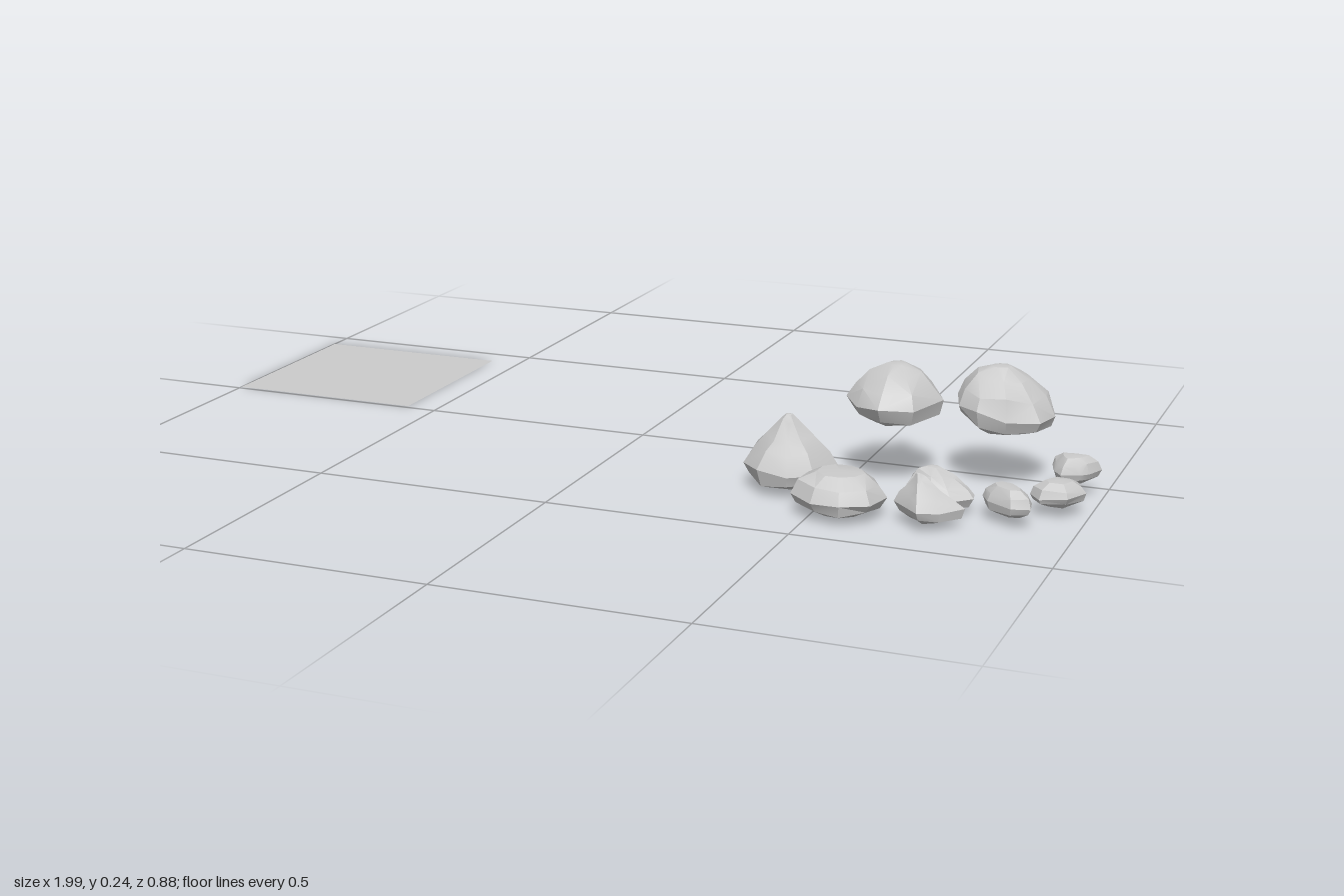
import * as THREE from 'three';
import { toCreasedNormals } from 'three/addons/utils/BufferGeometryUtils.js';

const grey = new THREE.MeshStandardMaterial({ color: 0xcccccc });
const greySheet = new THREE.MeshStandardMaterial({ color: 0xcccccc, side: THREE.DoubleSide });

// Side profiles, bottom to top: [share of the height, share of the footprint]
const DOME = [[0, 0.52], [0.13, 0.88], [0.35, 1], [0.62, 0.84], [0.85, 0.52], [1, 0.2]];
const PEAK = [[0, 0.5], [0.1, 0.88], [0.28, 1], [0.5, 0.75], [0.67, 0.46], [0.9, 0.18], [1, 0.08]];
const FLAT = [[0, 0.5], [0.2, 0.88], [0.45, 1], [0.75, 0.85], [1, 0.5]];

// Pseudo-random numbers between -1 and 1
function seeded(seed) {
  return () => (seed = (seed * 16807) % 2147483647) / 1073741823.5 - 1;
}

// Footprint corner: an ellipse with lobes, turned about the upright axis
function footprint(angle, radiusX, radiusZ, lobes, depth, turn) {
  const swell = 1 + depth * (Math.cos(lobes * angle) - 1);
  return new THREE.Vector2(radiusX * Math.cos(angle), radiusZ * Math.sin(angle))
    .multiplyScalar(swell)
    .rotateAround(new THREE.Vector2(), turn);
}

// Stacked footprint rings that draw in towards the peak, closed at both ends
function rockGeometry({ radius, height, profile, sides, turn = 0, lobes = 4, depth = 0, peak = [0, 0], slope = 0, seed }) {
  const rand = seeded(seed);
  const pos = [], index = [];
  const plan = [];
  for (let i = 0; i < sides; i++) {
    const angle = ((i + 0.2 * rand()) / sides) * Math.PI * 2;
    plan.push(footprint(angle, ...radius, lobes, depth, turn).multiplyScalar(1 + 0.05 * rand()));
  }
  const widest = profile.findIndex(ring => ring[1] === 1);
  const centre = new THREE.Vector2(), tip = new THREE.Vector2(...peak);
  profile.forEach(([up, share], j) => {
    const hub = j > widest ? tip : centre;
    const inner = j > 0 && j < profile.length - 1;
    for (const corner of plan) {
      const p = hub.clone().lerp(corner, share * (j === widest ? 1 : 1 + 0.06 * rand()));
      const lift = inner ? 0.05 * height * rand() + slope * (p.x - hub.x) : 0;
      pos.push(p.x, up * height + lift, p.y);
    }
  });
  const bottom = pos.length / 3, top = bottom + 1;
  pos.push(0, -0.002, 0, tip.x, height + 0.002, tip.y);
  const last = (profile.length - 1) * sides;
  for (let i = 0; i < sides; i++) {
    const k = (i + 1) % sides;
    for (let j = 0; j < last; j += sides) {
      const a = j + i, b = j + k, c = b + sides, d = a + sides;
      if ((i + j / sides) % 2) index.push(a, d, b, b, d, c);
      else index.push(a, d, c, a, c, b);
    }
    index.push(bottom, i, k, top, last + k, last + i);
  }
  const geo = new THREE.BufferGeometry();
  geo.setAttribute('position', new THREE.Float32BufferAttribute(pos, 3));
  geo.setIndex(index);
  return toCreasedNormals(geo, 0.42);
}

// One rock; at = [x, underside, z] of its centre
function addRock(parent, name, at, shape) {
  const mesh = new THREE.Mesh(rockGeometry(shape), grey);
  mesh.name = name;
  mesh.position.set(...at);
  parent.add(mesh);
}

export function createModel() {
  const model = new THREE.Group();
  model.name = 'rockSet';

  // Flat square sheet on the ground
  const sheet = new THREE.Mesh(new THREE.PlaneGeometry(0.43, 0.43).rotateX(-Math.PI / 2), greySheet);
  sheet.name = 'groundSheet';
  sheet.position.set(-0.785, 0, -0.225);
  model.add(sheet);

  const rocks = new THREE.Group();
  rocks.name = 'rocks';
  model.add(rocks);

  // Large rocks
  addRock(rocks, 'largeRockBackLeft', [0.795, 0.115, 0.043],
    { radius: [0.1, 0.093], height: 0.128, profile: DOME, sides: 10, peak: [-0.015, 0], slope: -0.12, seed: 101 });
  addRock(rocks, 'largeRockBackRight', [0.585, 0.128, 0.102],
    { radius: [0.096, 0.113], height: 0.113, profile: DOME, sides: 8, depth: 0.05, peak: [0, -0.01], seed: 202 });
  addRock(rocks, 'peakedRock', [0.413, 0.012, 0.235],
    { radius: [0.098, 0.085], height: 0.15, profile: PEAK, sides: 9, peak: [0.005, 0.03], seed: 303 });
  addRock(rocks, 'flatRock', [0.553, 0.007, 0.353],
    { radius: [0.095, 0.086], height: 0.08, profile: FLAT, sides: 9, seed: 404 });

  // Small rocks
  addRock(rocks, 'smallRockMiddle', [0.722, 0.015, 0.246],
    { radius: [0.073, 0.05], height: 0.068, profile: DOME, sides: 8, turn: 0.35, peak: [-0.02, -0.005], slope: -0.1, seed: 505 });
  addRock(rocks, 'smallPeakedRock', [0.728, 0.012, 0.353],
    { radius: [0.07, 0.06], height: 0.09, profile: PEAK, sides: 8, depth: 0.17, peak: [-0.022, 0.004], seed: 606 });
  addRock(rocks, 'smallLongRock', [0.86, 0.016, 0.27],
    { radius: [0.064, 0.035], height: 0.054, profile: FLAT, sides: 7, turn: 0.73, slope: 0.05, seed: 707 });
  addRock(rocks, 'smallRockLeft', [0.938, 0.018, 0.185],
    { radius: [0.054, 0.049], height: 0.048, profile: FLAT, sides: 6, slope: 0.06, seed: 808 });
  addRock(rocks, 'smallStarRock', [0.94, 0.03, 0.07],
    { radius: [0.06, 0.054], height: 0.053, profile: FLAT, sides: 9, turn: -0.4, lobes: 3, depth: 0.22, seed: 909 });

  return model;
}
